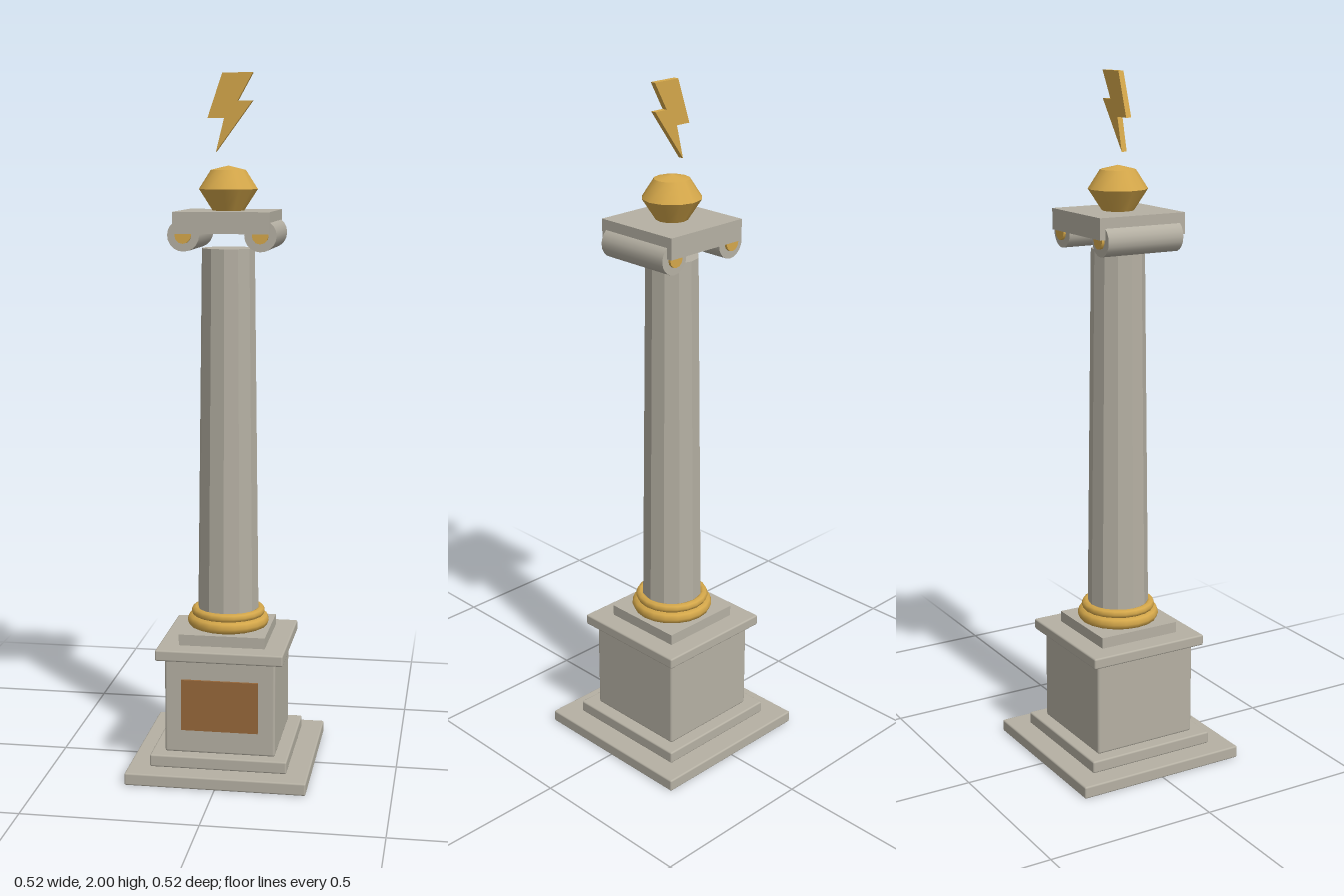
import * as THREE from 'three';
import { RoundedBoxGeometry } from 'three/addons/geometries/RoundedBoxGeometry.js';

export function createModel() {
  const model = new THREE.Group();
  model.name = 'monumentColumn';

  const material = (name, color, flatShading = false) => {
    const m = new THREE.MeshStandardMaterial({ color, flatShading });
    m.name = name;
    return m;
  };
  const stone = material('stone', 0xb5b0a3);
  const facetedStone = material('facetedStone', 0xb5b0a3, true);
  const gold = material('gold', 0xd4a74a);
  const bronze = material('bronze', 0x96673a);

  const add = (name, geometry, mat, x = 0, y = 0, z = 0) => {
    const mesh = new THREE.Mesh(geometry, mat);
    mesh.name = name;
    mesh.position.set(x, y, z);
    model.add(mesh);
    return mesh;
  };

  // Square slab between two heights, with optional softened edges
  const slab = (name, half, y0, y1, bevel = 0) => {
    const w = half * 2, h = y1 - y0;
    const g = bevel ? new RoundedBoxGeometry(w, h, w, 2, bevel) : new THREE.BoxGeometry(w, h, w);
    return add(name, g, stone, 0, (y0 + y1) / 2, 0);
  };

  // Stepped pedestal
  slab('bottomStep', 0.26, 0, 0.036, 0.005);
  slab('upperStep', 0.198, 0.036, 0.072, 0.005);
  slab('pedestalBlock', 0.16, 0.07, 0.35, 0.007);
  slab('pedestalCornice', 0.184, 0.348, 0.38, 0.005);
  slab('columnPlinth', 0.125, 0.38, 0.412);
  add('plaque', new THREE.BoxGeometry(0.222, 0.15, 0.009), bronze, 0, 0.215, 0.163);

  // Gilded base rings
  for (const [name, radius, tube, y] of [
    ['lowerRing', 0.101, 0.019, 0.43],
    ['upperRing', 0.095, 0.013, 0.457],
  ]) {
    add(name, new THREE.TorusGeometry(radius, tube, 8, 20), gold, 0, y, 0).rotation.x = Math.PI / 2;
  }

  // Tapered twelve-sided shaft
  add('shaft', new THREE.CylinderGeometry(0.076, 0.09, 1.105, 12), facetedStone, 0, 0.9625, 0);

  // Capital: scroll rolls with gilded eyes under a square abacus
  for (const side of [-1, 1]) {
    const roll = add('scroll', new THREE.CylinderGeometry(0.045, 0.045, 0.238, 20), stone, side * 0.108, 1.555, 0);
    roll.rotation.x = Math.PI / 2;
    const eye = add('scrollEye', new THREE.CylinderGeometry(0.023, 0.023, 0.254, 12), gold, side * 0.108, 1.555, 0);
    eye.rotation.x = Math.PI / 2;
  }
  slab('abacus', 0.135, 1.56, 1.62);

  // Finial made of stacked bands with crisp rims
  const band = (name, top, bottom, y0, y1) =>
    add(name, new THREE.CylinderGeometry(top, bottom, y1 - y0, 12, 1, true), gold, 0, (y0 + y1) / 2, 0);
  band('finialBowl', 0.084, 0.045, 1.62, 1.68);
  band('finialShoulder', 0.05, 0.084, 1.68, 1.733);
  band('finialCap', 0, 0.05, 1.733, 1.745);

  // Lightning bolt floating above the finial
  const bolt = new THREE.Shape([
    [-0.016, 2], [-0.058, 1.876], [-0.011, 1.876], [-0.034, 1.783],
    [0.069, 1.923], [0.027, 1.923], [0.07, 2],
  ].map(([x, y]) => new THREE.Vector2(x, y)));
  add('lightningBolt', new THREE.ExtrudeGeometry(bolt, { depth: 0.016, bevelEnabled: false }), gold, 0, 0, -0.008);

  return model;
}
